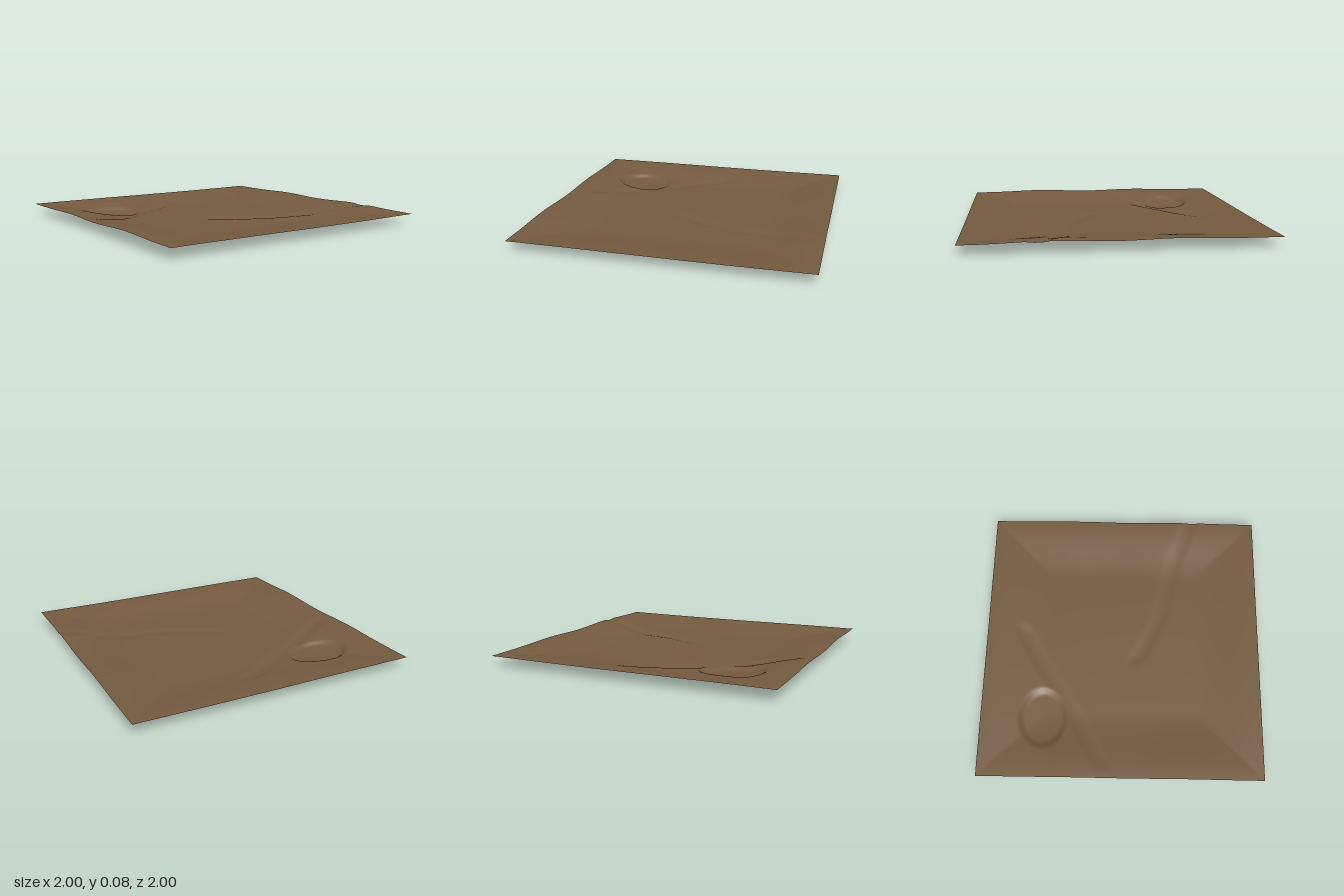
import * as THREE from 'three';

const { smoothstep } = THREE.MathUtils;

// Shallow winding channel, given as z over x, fading out at its ends
function makeChannel(points, from, to, depth) {
  const samples = new THREE.SplineCurve(points.map(([x, z]) => new THREE.Vector2(x, z))).getPoints(80);
  return (x, z) => {
    let best = Infinity;
    for (const p of samples) best = Math.min(best, (p.x - x) ** 2 + (p.y - z) ** 2);
    const fade = smoothstep(x, from, from + 0.12) * (1 - smoothstep(x, to - 0.12, to));
    return depth * fade * (1 - smoothstep(Math.sqrt(best), 0.012, 0.08));
  };
}

const channels = [
  makeChannel([[-1, -0.1], [-0.85, -0.16], [-0.6, -0.3], [-0.3, -0.49], [0, -0.68], [0.16, -0.75]], -0.97, 0.18, 0.009),
  makeChannel([[-0.2, 0.06], [0.1, 0.22], [0.3, 0.3], [0.6, 0.36], [0.85, 0.45], [1.05, 0.54]], -0.2, 1.3, 0.008),
];

// Crests running along the left and right edges
const bump = (z, centre, width) => Math.exp(-(((z - centre) / width) ** 2));

function heightAt(x, z) {
  // raised square border around a low plain
  const rim = smoothstep(Math.max(Math.abs(x), Math.abs(z)), 0.54, 1);
  let y = 0.027 + 0.045 * rim;
  // gentle undulation
  y += 0.002 * Math.sin(3 * x + 0.6) * Math.cos(2.6 * z);
  y += smoothstep(Math.abs(x), 0.5, 0.92) * (0.014 * bump(z, 0.45, 0.28) + 0.011 * bump(z, -0.33, 0.26));
  // oval pit
  const r = Math.hypot((x + 0.57) / 0.22, (z + 0.56) / 0.17);
  const pit = 1 - smoothstep(r, 0.78, 1.06);
  y -= 0.025 * pit;
  for (const channel of channels) y -= channel(x, z) * (1 - pit);
  return y;
}

export function createModel() {
  const group = new THREE.Group();
  group.name = 'terrain';

  const earth = new THREE.MeshStandardMaterial({ color: 0x745a40, side: THREE.DoubleSide });
  earth.name = 'earthBrown';

  // Ground sheet shaped by the height rule
  const geometry = new THREE.PlaneGeometry(2, 2, 160, 160);
  geometry.rotateX(-Math.PI / 2);
  const pos = geometry.attributes.position;
  for (let i = 0; i < pos.count; i++) pos.setY(i, heightAt(pos.getX(i), pos.getZ(i)));
  geometry.computeBoundingBox();
  geometry.translate(0, -geometry.boundingBox.min.y, 0);
  geometry.computeVertexNormals();

  const ground = new THREE.Mesh(geometry, earth);
  ground.name = 'ground';
  group.add(ground);
  return group;
}
